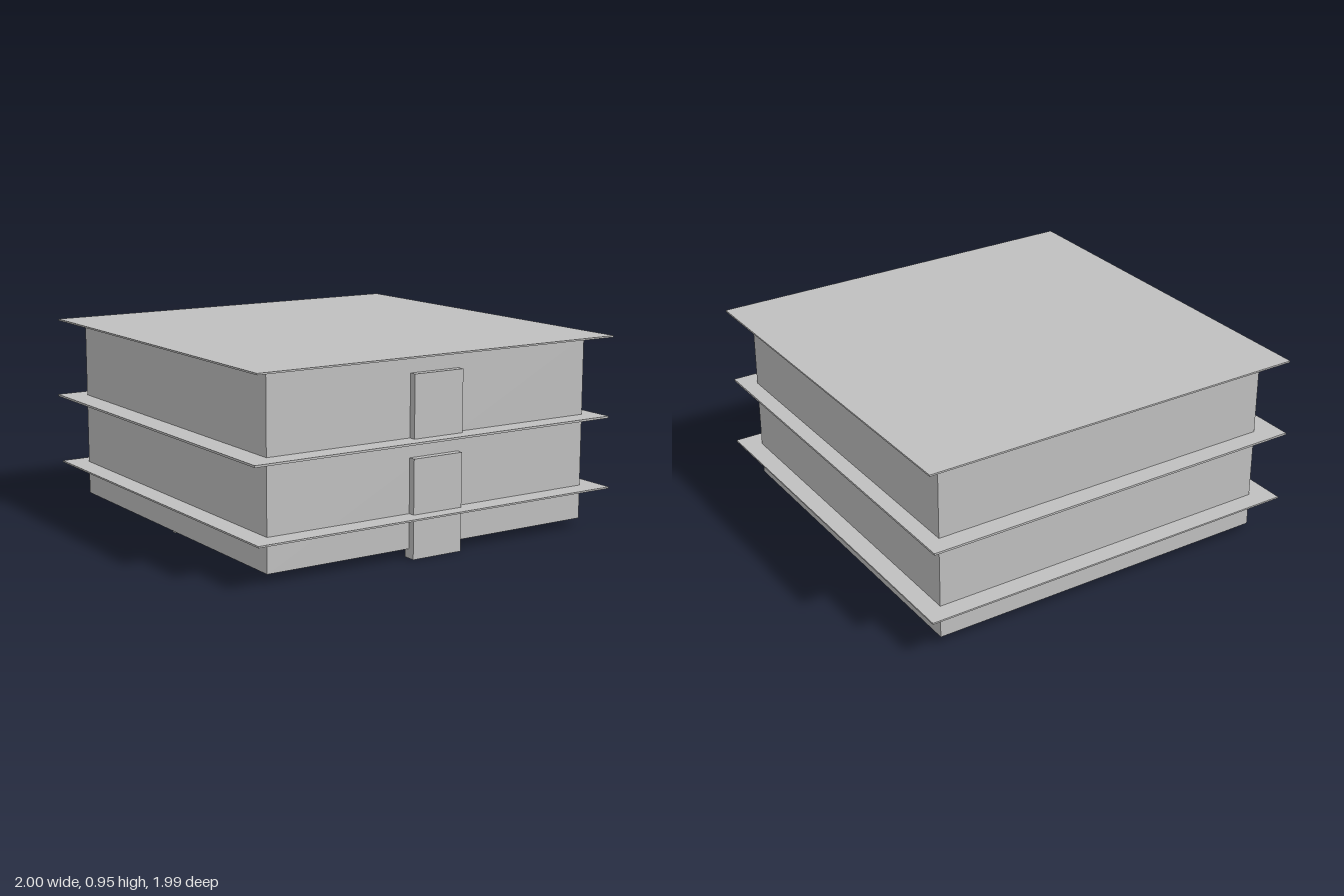
import * as THREE from 'three';

export function createModel() {
  const model = new THREE.Group();
  model.name = 'house';
  const grey = new THREE.MeshStandardMaterial({ color: 0xc0c0c0 });
  grey.name = 'plain grey';

  // Box given by its minimum and maximum on each axis
  const box = (name, [x0, x1], [y0, y1], [z0, z1]) => {
    const mesh = new THREE.Mesh(new THREE.BoxGeometry(x1 - x0, y1 - y0, z1 - z0), grey);
    mesh.position.set((x0 + x1) / 2, (y0 + y1) / 2, (z0 + z1) / 2);
    mesh.name = name;
    model.add(mesh);
  };
  const post = (name, x, z, y0, y1) => {
    const mesh = new THREE.Mesh(new THREE.CylinderGeometry(0.03, 0.03, y1 - y0, 24), grey);
    mesh.position.set(x, (y0 + y1) / 2, z);
    mesh.name = name;
    model.add(mesh);
  };

  // Outer walls, open underneath
  const t = 0.01, L = -0.88, R = 0.905, B = -0.9, F = 0.89;
  const height = [0.045, 0.95];
  box('frontWall', [L, R], height, [F - t, F]);
  box('backWall', [L, R], height, [B, B + t]);
  box('rightWall', [L, L + t], height, [B + t, F - t]);
  box('leftWall', [R - t, R], height, [B + t, F - t]);

  // Overhanging floor plates and roof
  const depth = [-0.995, 0.995];
  box('lowerFloor', [-0.985, 1], [0.203, 0.211], depth);
  box('upperFloor', [-1, 0.985], [0.554, 0.564], depth);
  box('roof', [-0.985, 1], [0.947, 0.955], depth);

  // Partition walls of the ground storey
  const storey = [0.045, 0.554];
  box('roomBackPartition', [0.216, R - t], storey, [-0.405, -0.395]);
  box('roomSidePartition', [0.206, 0.216], storey, [-0.405, 0.417]);
  box('hallPartition', [-0.2, -0.19], storey, [B + t, 0.515]);
  box('crossPartition', [L + t, -0.2], storey, [-0.03, -0.02]);
  for (const x of [-0.215, 0.215]) {
    box('porchPartition', [x - t / 2, x + t / 2], storey, [0.7, F - t]);
  }

  // Doors on both storeys
  box('entranceDoor', [-0.122, 0.15], [0, 0.472], [0.86, 0.925]);
  box('upperDoor', [-0.122, 0.15], [0.564, 0.862], [0.86, 0.925]);

  // Short round posts below the floor
  for (const [x, z] of [[0.835, 0.385], [0.835, -0.335], [0.285, -0.335], [-0.835, 0]]) {
    post('floorPost', x, z, 0.03, 0.203);
  }
  // Ceiling fixture poking through the right wall
  post('ceilingFixture', -0.86, 0, 0.538, 0.554);

  return model;
}
